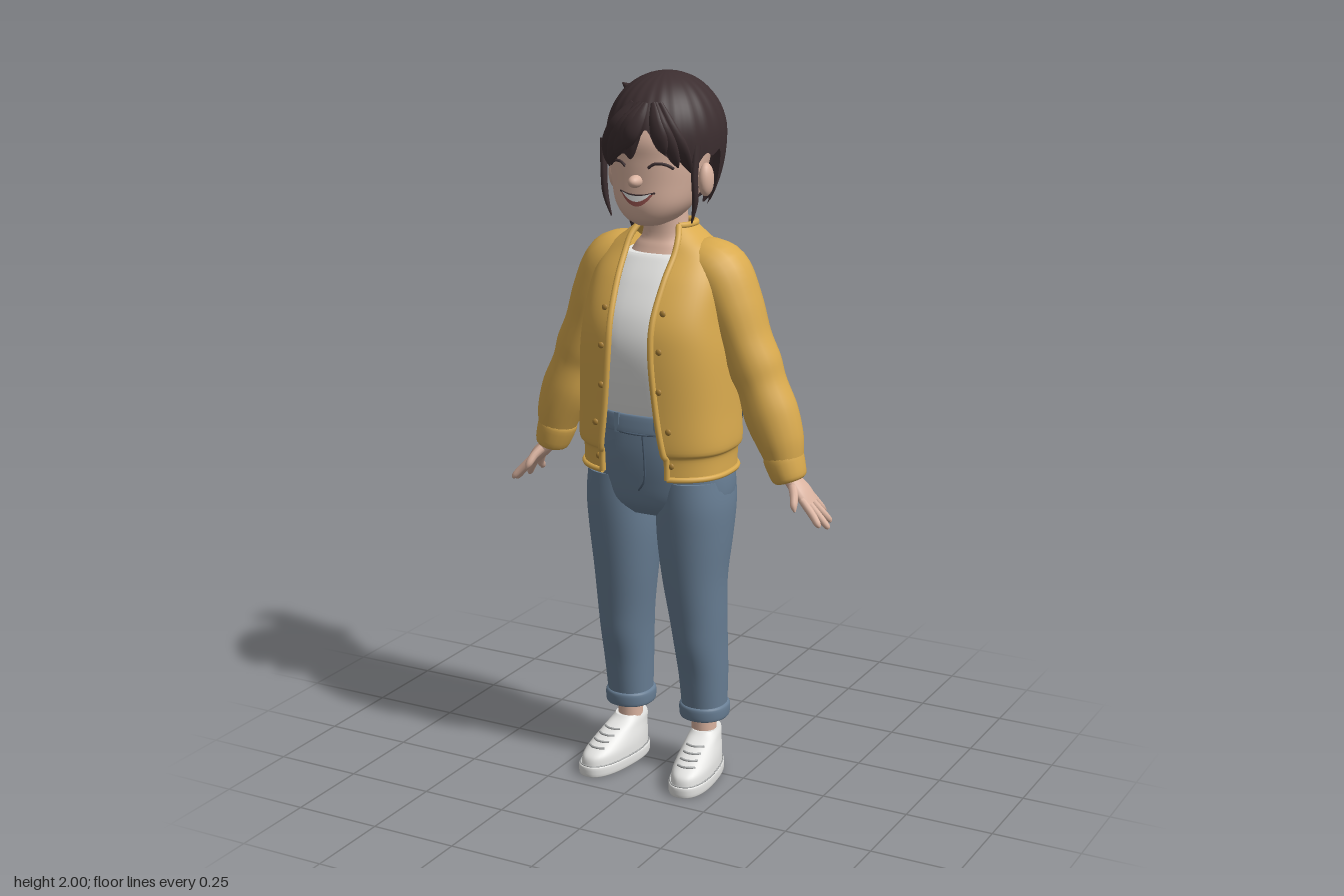
import * as THREE from 'three';

const paint = (name, color, side = THREE.FrontSide) => {
  const m = new THREE.MeshStandardMaterial({ color, side });
  m.name = name;
  return m;
};
const M = {
  skin: paint('skin', 0xdab3a0),
  hair: paint('dark brown hair', 0x3c2e30, THREE.DoubleSide),
  knit: paint('mustard knit', 0xd9aa4e, THREE.DoubleSide),
  button: paint('button brown', 0xa87f36),
  white: paint('white cotton', 0xe6e6e4),
  denim: paint('denim', 0x687e94, THREE.DoubleSide),
  seam: paint('dark denim', 0x4b5d70),
  lace: paint('lace grey', 0xa9abab),
  mouth: paint('mouth red', 0x9a5550),
};
const V = (x, y, z) => new THREE.Vector3(x, y, z);
const pw = (v, p) => Math.sign(v) * Math.abs(v) ** p;

// Catmull-Rom through rows of numbers
function smooth(rows, n = 6) {
  const out = [];
  for (let i = 0; i < rows.length - 1; i++) {
    const [a, b, c, d] = [-1, 0, 1, 2].map(k => rows[Math.min(Math.max(i + k, 0), rows.length - 1)]);
    for (let k = 0; k < n; k++) {
      const t = k / n;
      out.push(b.map((_, j) => b[j] + 0.5 * t * (c[j] - a[j] + t * (2 * a[j] - 5 * b[j] + 4 * c[j] - d[j]
        + t * (3 * (b[j] - c[j]) + d[j] - a[j])))));
    }
  }
  return [...out, rows[rows.length - 1]];
}
// Surface through rings of points; closed rings wrap round and are capped
function loft(rings, closed = true) {
  const n = rings[0].length, pos = rings.flat().flatMap(p => [p.x, p.y, p.z]), idx = [];
  for (let i = 0; i < rings.length - 1; i++)
    for (let j = 0; j < (closed ? n : n - 1); j++) {
      const a = i * n + j, b = i * n + (j + 1) % n;
      idx.push(a, b, a + n, b, b + n, a + n);
    }
  if (closed) [0, rings.length - 1].forEach((r, end) => {
    const c = rings[r].reduce((s, p) => s.add(p), V(0, 0, 0)).divideScalar(n);
    const base = pos.length / 3;
    [...rings[r], c].forEach(p => pos.push(p.x, p.y, p.z));
    for (let j = 0; j < n; j++) {
      const k = (j + 1) % n;
      idx.push(base + n, base + (end ? j : k), base + (end ? k : j));
    }
  });
  const g = new THREE.BufferGeometry();
  g.setAttribute('position', new THREE.Float32BufferAttribute(pos, 3));
  g.setIndex(idx);
  g.computeVertexNormals();
  return g;
}
// Row: [y, half width, front z, back z, centre x]
const at = ([y, rx, zf, zb, cx = 0], a, p) =>
  V(cx + rx * pw(Math.sin(a), p), y, (zf + zb) / 2 + (zf - zb) / 2 * pw(Math.cos(a), p));
const arc = (row, a0, a1, p, n) => Array.from({ length: n + 1 }, (_, j) => at(row, a0 + (a1 - a0) * j / n, p));
const stack = (rows, p = 0.9, n = 6) => loft(smooth(rows, n).map(r => arc(r, 0, Math.PI * 2, p, 40).slice(0, -1)));
// Tapering limb: nodes [x, y, z, radius across, radius along z]
function limb(nodes, n = 6, seg = 18) {
  const rows = smooth(nodes, n), c = rows.map(r => V(r[0], r[1], r[2]));
  return loft(rows.map((r, i) => {
    const T = c[Math.min(i + 1, c.length - 1)].clone().sub(c[Math.max(i - 1, 0)]).normalize();
    const A = T.clone().cross(Math.abs(T.z) > 0.9 ? V(0, 1, 0) : V(0, 0, 1)).normalize();
    const B = A.clone().cross(T);
    return Array.from({ length: seg }, (_, j) => {
      const a = j / seg * Math.PI * 2;
      return c[i].clone().addScaledVector(A, Math.sin(a) * r[3]).addScaledVector(B, Math.cos(a) * (r[4] ?? r[3]));
    });
  }));
}
const cord = (pts, r, closed = false) =>
  new THREE.TubeGeometry(new THREE.CatmullRomCurve3(pts, closed), pts.length * 3, r, 8, closed);
// z of the front of a stacked form
function frontZ(rows, p, x, y) {
  const i = Math.max(1, rows.findIndex(r => r[0] >= y)), t = (y - rows[i - 1][0]) / (rows[i][0] - rows[i - 1][0]);
  const r = rows[i].map((v, j) => rows[i - 1][j] + (v - rows[i - 1][j]) * t);
  return at(r, Math.asin(Math.min(1, (Math.abs(x) / r[1]) ** (1 / p))), p).z;
}

const HEAD = [[1.6, .035, .13, .03], [1.62, .072, .155, -.01], [1.66, .104, .167, -.05], [1.72, .122, .166, -.08],
  [1.78, .132, .165, -.1], [1.84, .132, .162, -.12], [1.92, .1, .12, -.09], [1.96, .04, .06, -.04]];
// Fifth number is half the width of the front opening
const CARDIGAN = [[.92, .213, .192, -.132, .1], [.975, .214, .196, -.138, .1], [1, .226, .207, -.147, .095],
  [1.1, .221, .212, -.145, .08], [1.25, .214, .215, -.125, .066], [1.35, .202, .203, -.112, .064],
  [1.45, .192, .153, -.11, .07], [1.52, .165, .1, -.1, .075], [1.56, .115, .078, -.088, .072], [1.59, .078, .055, -.07, .06]];

// Hair shell: point at azimuth a and height y
function hairAt(a, y, off = 0) {
  const s = (y - 1.835) / (y > 1.835 ? .165 : .265), r = Math.sqrt(Math.max(0, 1 - s * s));
  const k = r * (1 + .008 * Math.sin(a * 23 + y * 9)) + off / .16;
  return V(.008 + .158 * k * Math.sin(a), y + off * s, .008 + (Math.cos(a) > 0 ? .178 : .165) * k * Math.cos(a));
}
function hairEdge(a) {
  const b = Math.abs(a), step = THREE.MathUtils.smoothstep;
  return 1.79 + .075 * Math.exp(-(((a - .2) / .16) ** 2)) - .015 * step(b, .6, .9) + .02 * step(b, 1.1, 1.3)
    - .15 * step(b, 1.55, 1.95) + .008 * Math.sin(a * 17);
}

export function createModel() {
  const root = new THREE.Group();
  const add = (name, geo, mat, parent = root) => {
    const m = new THREE.Mesh(geo, mat);
    m.name = name;
    parent.add(m);
    return m;
  };
  const ball = (name, mat, x, y, z, sx, sy, sz) => {
    const m = add(name, new THREE.SphereGeometry(1, 20, 14), mat);
    m.position.set(x, y, z);
    m.scale.set(sx, sy, sz);
  };

  // Head, neck and face
  const head = smooth(HEAD);
  add('head', stack(HEAD), M.skin);
  add('neck', stack([[1.4, .12, .11, -.07], [1.48, .11, .09, -.07], [1.53, .085, .068, -.062], [1.57, .062, .055, -.055],
    [1.68, .06, .06, -.055]]), M.skin);
  ball('nose', M.skin, 0, 1.725, .172, .018, .017, .027);
  const onFace = (x, y, o) => V(x, y, frontZ(head, .9, x, y) + o);
  const facePatch = (hw, top, low, o) => loft([low, top].map(f => Array.from({ length: 17 }, (_, j) => {
    const u = j / 8 - 1;
    return onFace(u * hw, f(u * u), o);
  })), false);
  const lip = q => 1.688 + .008 * q;
  add('openMouth', facePatch(.05, lip, q => lip(q) - .03 * (1 - q), .003), M.mouth);
  add('teeth', facePatch(.044, q => lip(q) - .001, q => lip(q) - .001 - .016 * (1 - q), .005), M.white);
  add('lipLine', cord([-1, -.5, 0, .5, 1].map(u => onFace(u * .052, lip(u * u), .002)), .0025), M.hair);

  // Hair shell, fringe locks and ponytail
  const shell = [];
  for (let i = 0; i <= 24; i++) {
    const t = Math.sin(i / 24 * Math.PI / 2);
    shell.push(Array.from({ length: 129 }, (_, j) => {
      const a = (j / 64 - 1) * Math.PI, e = hairEdge(a);
      return hairAt(a, e + (2 - e) * t);
    }));
  }
  add('hairShell', loft(shell, false), M.hair);
  for (const [a0, a1, y1] of [[.12, -.2, 1.81], [.08, -.45, 1.785], [0, -.7, 1.76], [-.2, -.95, 1.75],
    [.26, .5, 1.8], [.3, .72, 1.765], [.4, .95, 1.75]]) {
    add('fringeLock', limb([0, .3, .6, .85, 1].map((t, i) => {
      const p = hairAt(a0 + (a1 - a0) * t, 1.93 + (y1 - 1.93) * t, .001);
      return [p.x, p.y, p.z, [.008, .02, .024, .016, .002][i], [.005, .01, .011, .008, .002][i]];
    }), 5, 12), M.hair);
  }
  add('ponytail', limb([[-.05, 1.9, -.1, .03, .03], [-.09, 1.935, -.145, .03, .025], [-.135, 1.925, -.172, .04, .032],
    [-.148, 1.85, -.177, .044, .034], [-.142, 1.75, -.173, .042, .035], [-.15, 1.66, -.165, .055, .045],
    [-.155, 1.6, -.16, .045, .042], [-.16, 1.55, -.155, .012, .015]]), M.hair);
  add('hairTie', limb([[-.058, 1.905, -.112, .04, .036], [-.078, 1.925, -.132, .038, .034]], 2), M.hair);
  for (const [x, y, z] of [[-.22, 1.61, -.14], [-.2, 1.56, -.17], [-.17, 1.535, -.12], [-.12, 1.55, -.2], [-.1, 1.57, -.12], [-.15, 1.54, -.19]])
    add('ponytailTip', limb([[-.145, 1.76, -.172, .02], [(x - .155) / 2, 1.66, (z - .165) / 2, .024],
      [x * .9 - .016, y + .05, z, .015], [x, y, z, .002]], 5, 10), M.hair);
  for (const [x, y, z] of [[-.235, 1.9, -.17], [-.2, 1.94, -.12]])
    add('flyawayTuft', limb([[-.14, 1.92, -.17, .02], [(x - .14) / 2, 1.925, z, .016], [x, y, z, .002]], 5, 10), M.hair);

  // Shirt
  add('shirt', stack([[1.04, .155, .145, -.09], [1.1, .17, .172, -.1], [1.25, .185, .203, -.1], [1.35, .175, .192, -.09],
    [1.44, .155, .148, -.09], [1.5, .13, .106, -.08], [1.515, .11, .092, -.07]], .85), M.white);

  // Cardigan with rolled edges, buttons and side pockets
  const knit = smooth(CARDIGAN);
  const start = r => Math.asin((r[4] / r[1]) ** 1.25);
  const ring = r => arc([...r.slice(0, 4), 0], start(r), Math.PI * 2 - start(r), .8, 56);
  const panels = knit.map(ring);
  add('cardiganBody', loft(panels, false), M.knit);
  add('cardiganHem', cord(panels[0], .008), M.knit);
  add('cardiganCollar', cord(panels[panels.length - 1], .009), M.knit);
  for (const s of [1, -1]) {
    add('cardiganEdge', cord(panels.map(p => p[s > 0 ? 0 : 56]), .009), M.knit);
    for (const y of [.96, 1.06, 1.17, 1.28, 1.38]) {
      const x = s * (y < 1.1 ? .112 : .088);
      ball('button', M.button, x, y, frontZ(knit, .8, x, y) + .002, .009, .009, .005);
    }
    add('pocketPatch', loft([[1.02, 2.22, 2.3], [1.05, 2.18, 2.42], [1.075, 2.12, 2.4], [1.09, 2.1, 2.26]].map(([y, a, b]) =>
      arc([y, .229, .217, -.153], s > 0 ? a : -b, s > 0 ? b : -a, .8, 6)), false), M.denim);
  }

  // Jeans: hips, waistband and fly
  add('hips', stack([[.79, .17, .12, -.08], [.83, .208, .152, -.104], [.9, .213, .165, -.118], [.98, .198, .172, -.122],
    [1.06, .175, .17, -.105]], .85), M.denim);
  add('waistband', stack([[1.035, .182, .177, -.11], [1.04, .185, .18, -.112], [1.08, .175, .175, -.107], [1.085, .17, .17, -.104]], .85, 3), M.denim);
  add('waistSeam', cord([-.1, -.05, 0, .05, .1].map(x => V(x, 1.035, .181 - x * x * 3.4)), .003), M.seam);
  add('fly', cord([V(.022, 1.035, .178), V(.024, .96, .171), V(.02, .9, .165), V(0, .87, .16)], .003), M.seam);
  for (const x of [-.06, .06]) {
    const b = add('beltLoop', new THREE.BoxGeometry(.014, .055, .008), M.denim);
    b.position.set(x, 1.06, .171);
  }

  for (const s of [1, -1]) {
    const side = new THREE.Group();
    side.name = s > 0 ? 'leftSide' : 'rightSide';
    root.add(side);
    const flip = nodes => nodes.map(([x, ...r]) => [s * x, ...r]);
    const cx = rows => rows.map(([y, rx, zf, zb, x]) => [y, rx, zf, zb, s * x]);

    // Closed smiling eye, ear and side strand
    add('eye', cord([[.034, 1.762], [.048, 1.772], [.064, 1.774], [.08, 1.77], [.094, 1.76]]
      .map(([x, y]) => onFace(s * x, y, .002)), .004), M.hair, side);
    ball('ear', M.skin, s * .136, 1.72, .03, .02, .045, .028);
    add('sideStrand', limb(flip([[.138, 1.82, .09, .012, .016], [.137, 1.74, .098, .009, .012], [.136, 1.67, .092, .008, .01],
      [.122, 1.61, .085, .002, .002]]), 5, 10), M.hair, side);

    // Sleeve with soft folds and gathered cuff
    add('sleeve', limb(flip([[.1, 1.49, -.005, .07, .08], [.16, 1.465, -.005, .083, .092], [.205, 1.38, -.005, .078, .09],
      [.24, 1.29, -.006, .07, .082], [.268, 1.22, -.008, .074, .078], [.29, 1.165, -.01, .068, .074], [.318, 1.09, -.01, .075, .074],
      [.345, 1.02, -.01, .066, .068], [.36, .965, -.01, .052, .058]])), M.knit, side);
    add('sleeveCuff', limb(flip([[.352, .985, -.01, .05, .055], [.357, .97, -.01, .055, .061], [.374, .92, -.01, .048, .055],
      [.378, .908, -.01, .038, .045]]), 4), M.knit, side);

    // Hand
    add('palm', limb(flip([[.36, .95, -.008, .024, .028], [.385, .912, -.008, .022, .03], [.415, .88, -.01, .02, .04],
      [.44, .85, -.012, .014, .037]])), M.skin, side);
    for (const [z, x, y, tz] of [[-.04, .455, .808, -.075], [-.02, .483, .792, -.05], [.002, .497, .788, -.004], [.018, .486, .8, .03]])
      add('finger', limb(flip([[.425, .868, z, .011], [(.435 + x) / 2, (.86 + y) / 2, (z + tz) / 2, .011],
        [x - .006, y + .008, tz, .009], [x, y, tz, .003]]), 4, 10), M.skin, side);
    add('thumb', limb(flip([[.395, .9, .01, .014], [.41, .88, .034, .012], [.418, .858, .052, .01], [.424, .843, .058, .003]]), 4, 10), M.skin, side);

    // Leg and turned-up cuff
    add('trouserLeg', stack(cx([[.18, .062, .055, -.075, .12], [.3, .067, .075, -.078, .12], [.4, .071, .1, -.076, .118],
      [.48, .077, .112, -.068, .115], [.6, .088, .13, -.066, .109], [.72, .101, .145, -.085, .108],
      [.82, .105, .154, -.1, .11], [.9, .1, .155, -.105, .108]]), .92), M.denim, side);
    add('trouserCuff', stack(cx([[.17, .062, .056, -.076, .12], [.175, .069, .063, -.083, .12], [.205, .07, .065, -.084, .12],
      [.213, .062, .058, -.076, .12]]), .92, 4), M.denim, side);
    add('ankle', limb(flip([[.12, .08, -.006, .036, .036], [.12, .2, -.006, .036, .038]])), M.skin, side);

    // Shoe, turned out slightly
    const shoe = new THREE.Group();
    shoe.name = 'shoe';
    shoe.position.set(s * .125, 0, 0);
    shoe.rotation.y = s * .13;
    side.add(shoe);
    add('sole', stack([[0, .055, .202, -.07], [.004, .06, .207, -.075], [.028, .061, .208, -.076], [.032, .057, .203, -.072]], .82, 3), M.white, shoe);
    const upper = [[.03, .056, .2, -.07], [.055, .055, .192, -.071], [.075, .052, .16, -.07], [.1, .046, .105, -.07],
      [.12, .042, .055, -.07], [.132, .038, .036, -.066]];
    add('upper', stack(upper, .85), M.white, shoe);
    add('soleLine', cord(arc([.033, .058, .203, -.072], 0, Math.PI * 2, .84, 32).slice(0, -1), .002, true), M.lace, shoe);
    const top = smooth(upper);
    for (const y of [.075, .086, .097, .108])
      add('lace', cord([-.026, -.012, 0, .012, .026].map(x => V(x, y, frontZ(top, .85, x, y) + .001)), .0035), M.lace, shoe);
  }
  return root;
}
